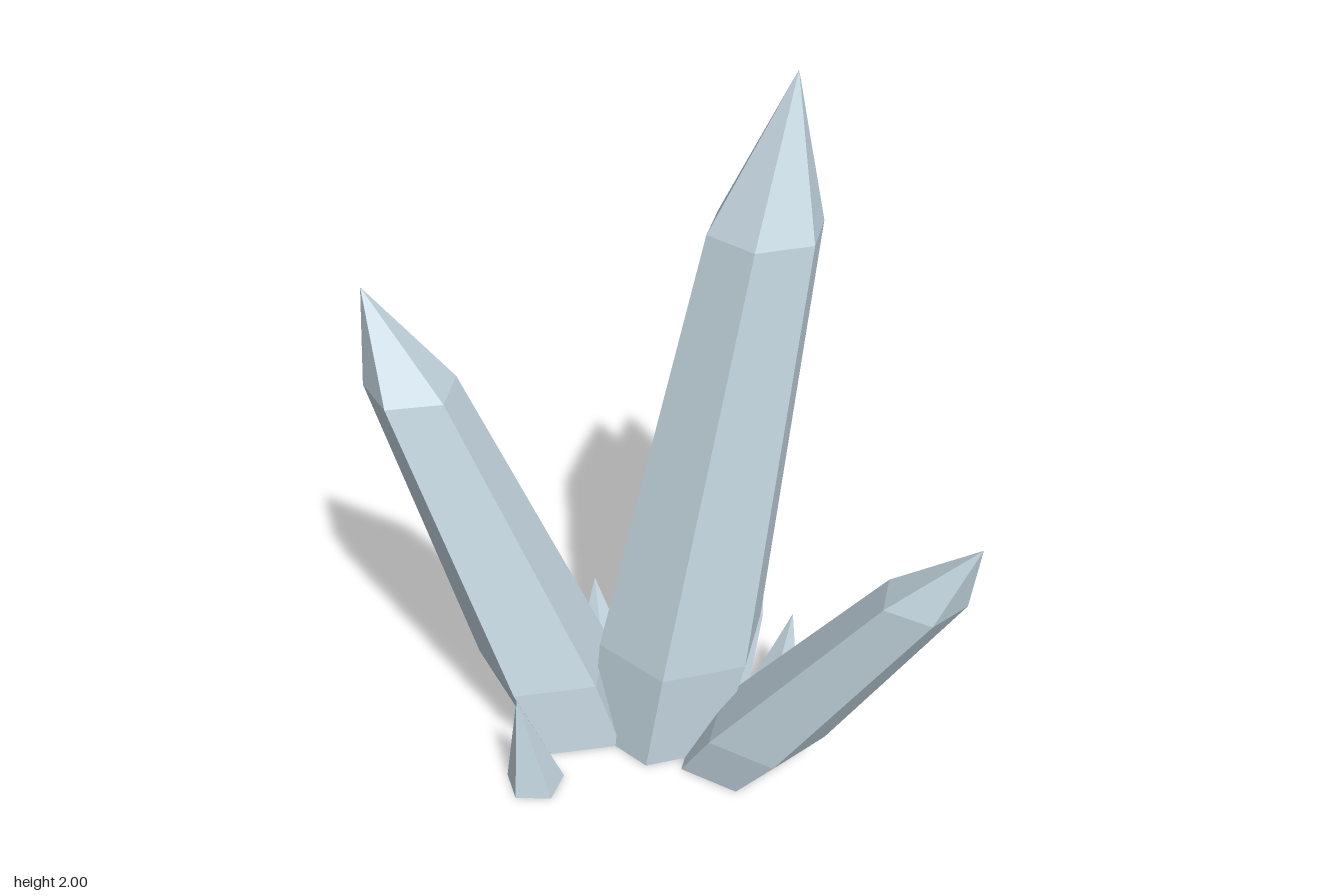
import * as THREE from 'three';

// Faceted solid: a lathe profile with few sides, sheared so that its axis leans
// from (x, z) on the ground to (tipX, tipZ) at the top. Angle is that of one corner.
function leaningSolid(profile, { sides, angle, x, z, tipX, tipZ, height }) {
  const points = profile.map(([r, y]) => new THREE.Vector2(r, y));
  const phi = THREE.MathUtils.degToRad(90 - angle);
  const lathe = new THREE.LatheGeometry(points, sides, phi);
  const shear = new THREE.Matrix4().set(
    1, (tipX - x) / height, 0, x,
    0, 1, 0, 0,
    0, (tipZ - z) / height, 1, z,
    0, 0, 0, 1
  );
  const geometry = lathe.applyMatrix4(shear).toNonIndexed();
  geometry.computeVertexNormals();
  return geometry;
}

// Large crystal: swelling foot, tapering shaft and pointed cap
const crystalProfile = (r, h) => [[0, 0], [r * 0.88, 0], [r, h * 0.16], [r * 0.66, h * 0.79], [0, h]];

// Small shard: plain pointed spike
const shardProfile = (r, h) => [[0, 0], [r, 0], [0, h]];

const crystals = [
  { name: 'mainCrystal', sides: 6, angle: 0, radius: 0.25, height: 2, x: 0.082, z: 0.003, tipX: 0.442, tipZ: -0.05 },
  { name: 'rightCrystal', sides: 5, angle: 60, radius: 0.205, height: 1.42, x: -0.165, z: -0.069, tipX: -0.674, tipZ: -0.316 },
  { name: 'frontCrystal', sides: 5, angle: 30, radius: 0.176, height: 1, x: 0.221, z: 0.221, tipX: 0.685, tipZ: 0.732 },
  { name: 'backCrystal', sides: 6, angle: 34, radius: 0.192, height: 1.2, x: 0.256, z: -0.181, tipX: 0.537, tipZ: -0.729 },
];

const shards = [
  { name: 'rightShard', sides: 5, angle: 0, radius: 0.087, height: 0.33, x: -0.357, z: 0.165, tipX: -0.405, tipZ: 0.182 },
  { name: 'backShard', sides: 5, angle: 26, radius: 0.086, height: 0.25, x: -0.007, z: -0.376, tipX: -0.012, tipZ: -0.42 },
  { name: 'leftShard', sides: 5, angle: -22, radius: 0.086, height: 0.28, x: 0.455, z: -0.03, tipX: 0.505, tipZ: -0.03 },
];

export function createModel() {
  const model = new THREE.Group();
  model.name = 'crystalCluster';
  const crystalMaterial = new THREE.MeshStandardMaterial({ color: 0xc4d6e0, flatShading: true });
  crystalMaterial.name = 'paleBlueCrystal';

  const add = (spec, profile) => {
    const mesh = new THREE.Mesh(leaningSolid(profile(spec.radius, spec.height), spec), crystalMaterial);
    mesh.name = spec.name;
    model.add(mesh);
  };
  crystals.forEach((spec) => add(spec, crystalProfile));
  shards.forEach((spec) => add(spec, shardProfile));
  return model;
}
